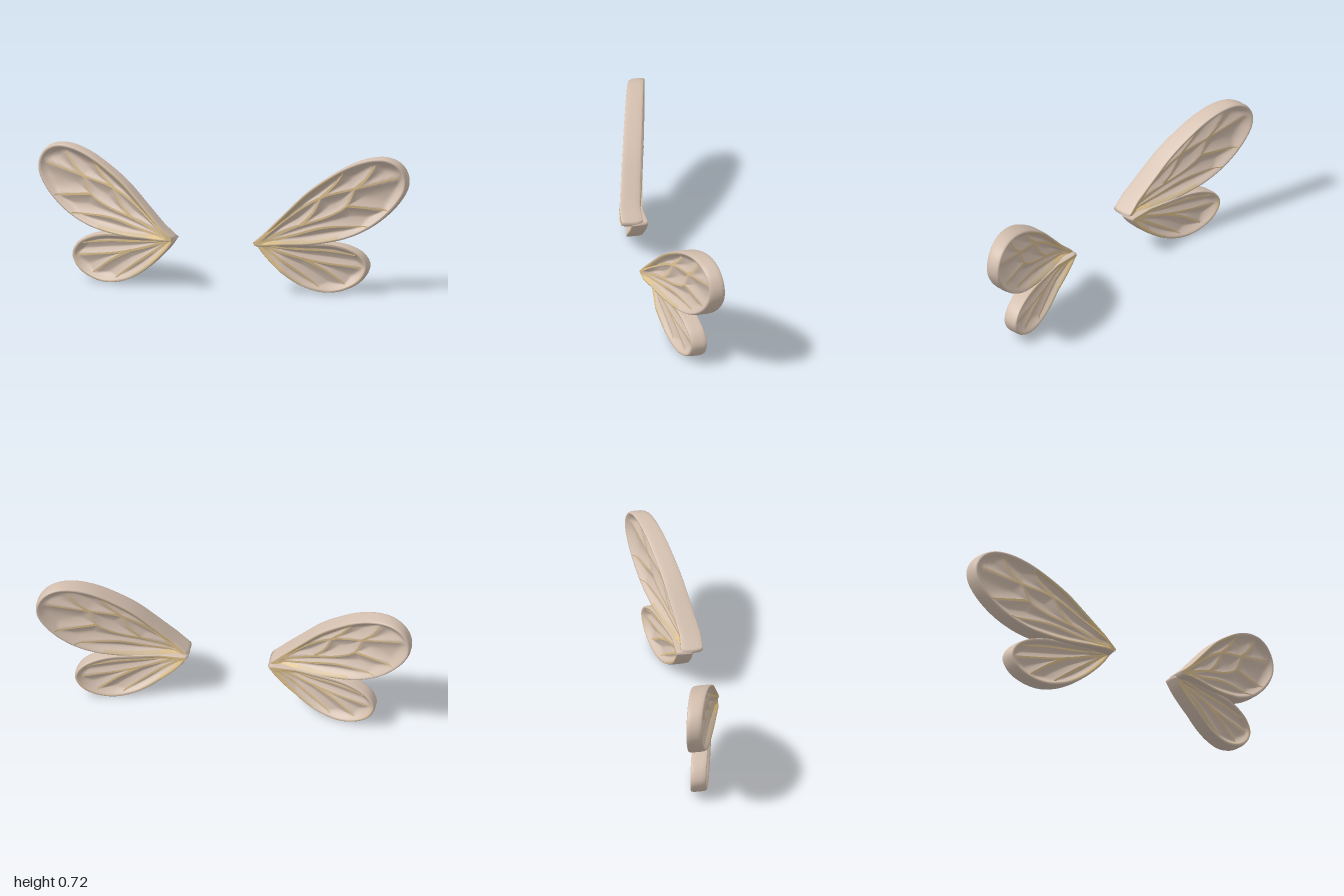
import * as THREE from 'three';
import { mergeVertices } from 'three/addons/utils/BufferGeometryUtils.js';

const wingMaterial = new THREE.MeshStandardMaterial({ name: 'taupe wing', color: 0xd3bfaf });
const veinMaterial = new THREE.MeshStandardMaterial({ name: 'golden vein', color: 0xdabd88 });
const tanMaterial = new THREE.MeshStandardMaterial({ name: 'tan inner wall', color: 0xcfb995 });

// Each wing: outline from root to root, branching veins, slanted mid surface (flat up to
// bendX), half thickness at root and tip, and how far out the tan inner wall reaches
const WINGS = {
  upperWing: {
    outline: [[.212, .268], [.28, .33], [.385, .437], [.49, .54], [.6, .62], [.705, .68], [.81, .714], [.895, .714],
      [.96, .68], [.995, .62], [.995, .555], [.96, .485], [.895, .41], [.81, .345], [.705, .295], [.6, .27],
      [.49, .256], [.36, .254], [.212, .25]],
    veins: [
      [[.225, .262], [.4, .41], [.56, .51], [.73, .555], [.95, .612]],
      [[.225, .262], [.42, .35], [.6, .41], [.69, .465], [.73, .555]],
      [[.225, .262], [.42, .31], [.58, .35], [.8, .355]],
      [[.56, .51], [.63, .58], [.675, .643]],
      [[.73, .555], [.79, .61], [.835, .68]],
      [[.69, .465], [.78, .455], [.9, .44]],
      [[.46, .365], [.52, .43], [.56, .51]],
    ],
    z: .085, slope: -.272, bendX: .29, rootHalf: .057, tipHalf: .042, tanReach: .66,
  },
  lowerWing: {
    outline: [[.212, .262], [.245, .215], [.28, .175], [.36, .1], [.44, .045], [.52, .012], [.6, 0], [.68, .014],
      [.75, .05], [.79, .1], [.8, .145], [.77, .2], [.705, .24], [.625, .262], [.545, .268], [.44, .268], [.32, .268],
      [.212, .27]],
    veins: [
      [[.225, .26], [.4, .2], [.54, .165], [.765, .132]],
      [[.225, .26], [.36, .17], [.46, .1], [.55, .03]],
      [[.225, .26], [.42, .235], [.58, .225], [.735, .202]],
      [[.46, .185], [.58, .12], [.68, .046]],
    ],
    z: .045, slope: -.222, bendX: .36, rootHalf: .044, tipHalf: .042, tanReach: .45,
  },
};

function distanceToPath(x, y, path) {
  let best = Infinity;
  for (let i = 1; i < path.length; i++) {
    const a = path[i - 1], b = path[i];
    const dx = b.x - a.x, dy = b.y - a.y;
    const t = THREE.MathUtils.clamp(((x - a.x) * dx + (y - a.y) * dy) / (dx * dx + dy * dy || 1), 0, 1);
    best = Math.min(best, Math.hypot(x - a.x - t * dx, y - a.y - t * dy));
  }
  return best;
}

function spline(points, count) {
  return new THREE.CatmullRomCurve3(points.map(([x, y]) => new THREE.Vector3(x, y, 0))).getSpacedPoints(count);
}

function bufferGeometry(pos, index) {
  const geometry = new THREE.BufferGeometry();
  geometry.setAttribute('position', new THREE.Float32BufferAttribute(pos, 3));
  geometry.setIndex(index);
  const merged = mergeVertices(geometry, 1e-5);
  merged.computeVertexNormals();
  return merged;
}

function buildWing(name, def, side) {
  const edge = spline(def.outline, 110);
  edge.push(edge[0].clone());
  const veins = def.veins.map((v) => spline(v, 18));
  const centreZ = (x) => def.z + def.slope * Math.max(0, x - def.bendX);
  const half = (x) => THREE.MathUtils.mapLinear(x, .212, 1, def.rootHalf, def.tipHalf);

  // Half thickness: full at the rim, ridged along veins, scooped between them
  const height = (x, y) => {
    const rimDistance = distanceToPath(x, y, edge);
    const veinDistance = Math.min(...veins.map((v) => distanceToPath(x, y, v)));
    const rim = .86 * Math.max(0, 1 - Math.max(0, rimDistance - .015) / .055) ** 2;
    const ridge = .46 * Math.max(0, 1 - veinDistance / .065) ** 1.8;
    return half(x) * (.14 + Math.max(rim, ridge));
  };

  // Concentric rings run from the front centre, round the rim, to the back centre
  const ring = edge.slice(0, -1), n = ring.length - 1;
  const centre = ring.reduce((s, p) => s.add(p), new THREE.Vector3()).divideScalar(ring.length);
  const scales = [];
  for (let i = 0; i <= 26; i++) scales.push(.93 * i / 26);
  scales.push(.945, .965, .978, .99, 1);
  const rimProfile = { .978: .97, .99: .84, 1: .45 };
  const front = scales.map((s) => [s, 1]);
  const rows = [...front, ...front.slice().reverse().map(([s]) => [s, -1])];
  const pos = [], plain = [], golden = [], tan = [];
  for (const [s, face] of rows) {
    for (let i = 0; i < n; i++) {
      const x = centre.x + (ring[i].x - centre.x) * s, y = centre.y + (ring[i].y - centre.y) * s;
      const h = rimProfile[s] ? half(x) * rimProfile[s] : height(x, y);
      pos.push(x * side, y, centreZ(x) + face * h);
    }
  }
  // The inner wall of the rim is golden near the root, then tan, with a thin golden crease
  const wallColour = (inner, outer, x) => {
    if (inner < .85 || outer > .97) return plain;
    if (x < .34) return golden;
    if (x < def.tanReach) return tan;
    return inner > .925 && outer < .95 && name === 'lowerWing' ? golden : plain;
  };
  // Outlines run in opposite directions on the two wings and on the mirrored side
  const clockwise = THREE.ShapeUtils.area(ring) * side < 0;
  for (let j = 0; j < rows.length - 1; j++) {
    const inner = Math.min(rows[j][0], rows[j + 1][0]), outer = Math.max(rows[j][0], rows[j + 1][0]);
    for (let i = 0; i < n; i++) {
      const k = (i + 1) % n, a = j * n + i, b = j * n + k, c = a + n, d = b + n;
      wallColour(inner, outer, ring[i].x).push(...(clockwise ? [a, b, c, b, d, c] : [a, c, b, b, c, d]));
    }
  }
  const geometry = bufferGeometry(pos, [...plain, ...golden, ...tan]);
  geometry.addGroup(0, plain.length, 0);
  geometry.addGroup(plain.length, golden.length, 1);
  geometry.addGroup(plain.length + golden.length, tan.length, 2);

  const group = new THREE.Group();
  group.name = name;
  const membrane = new THREE.Mesh(geometry, [wingMaterial, veinMaterial, tanMaterial]);
  membrane.name = 'rimAndMembrane';
  group.add(membrane);

  // Narrow golden ribbons lie on the ridges of both faces
  for (const face of [1, -1]) {
    for (const vein of veins) {
      const points = [], faces = [];
      vein.forEach((p, i) => {
        const last = vein.length - 1;
        const along = vein[Math.min(i + 1, last)].clone().sub(vein[Math.max(i - 1, 0)]).normalize();
        const width = THREE.MathUtils.lerp(.007, .004, i / last);
        const z = centreZ(p.x) + face * (height(p.x, p.y) + .002);
        for (const w of [-width, width]) {
          const offset = w * face * side;
          points.push((p.x - along.y * offset) * side, p.y + along.x * offset, z);
        }
        const a = i * 2;
        if (i < last) faces.push(a, a + 2, a + 1, a + 1, a + 2, a + 3);
      });
      const ribbon = new THREE.Mesh(bufferGeometry(points, faces), veinMaterial);
      ribbon.name = face > 0 ? 'frontVein' : 'backVein';
      group.add(ribbon);
    }
  }
  return group;
}

export function createModel() {
  const model = new THREE.Group();
  model.name = 'wings';
  for (const [side, label] of [[1, 'left'], [-1, 'right']]) {
    const pair = new THREE.Group();
    pair.name = label + 'WingPair';
    for (const [name, def] of Object.entries(WINGS)) pair.add(buildWing(name, def, side));
    model.add(pair);
  }
  return model;
}
